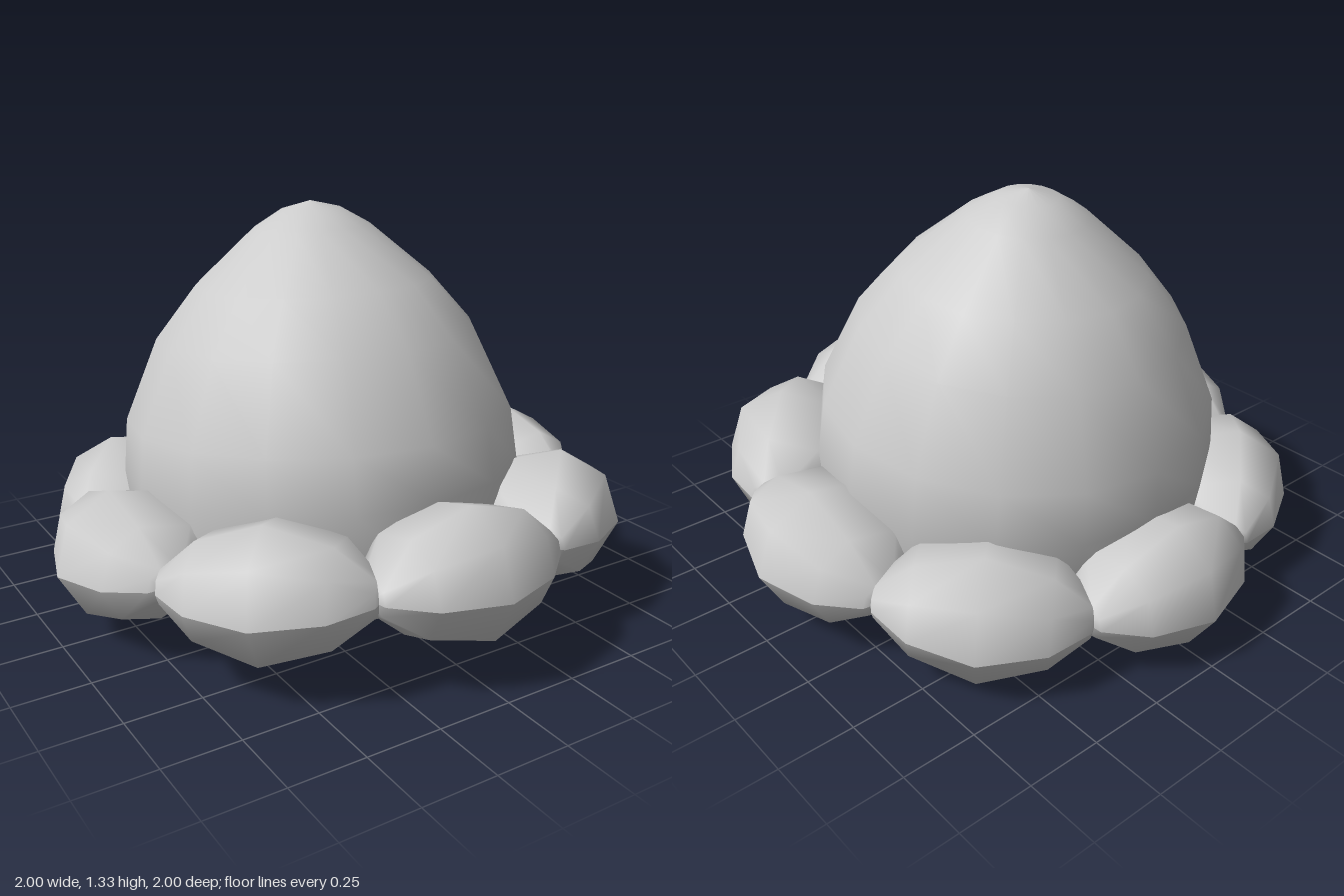
import * as THREE from 'three';

const TILT = -0.075; // whole model leans slightly back

function lathe(points, segments) {
  return new THREE.LatheGeometry(points.map(([r, y]) => new THREE.Vector2(r, y)), segments);
}

// Plump lobe lying along x, deeper on its inner side (-z)
function lobeGeometry() {
  const geometry = lathe([
    [0, -0.345], [0.055, -0.33], [0.158, -0.21], [0.22, 0],
    [0.158, 0.21], [0.055, 0.33], [0, 0.345],
  ], 8).rotateZ(Math.PI / 2).rotateX(0.12);
  const p = geometry.attributes.position;
  for (let i = 0; i < p.count; i++) {
    if (p.getZ(i) < 0) p.setZ(i, p.getZ(i) * (1.35 + Math.abs(p.getX(i))));
  }
  geometry.computeVertexNormals();
  return geometry;
}

export function createModel() {
  const model = new THREE.Group();
  model.name = 'eggInRing';
  const material = new THREE.MeshStandardMaterial({ color: 0xcccccc });

  // Pointed dome body with a flat bottom, shaded smoothly around the lower edge
  const body = new THREE.Mesh(lathe([
    [0, 0.065], [0.59, 0.065], [0.66, 0.2], [0.685, 0.45], [0.665, 0.63], [0.545, 0.9],
    [0.405, 1.07], [0.2, 1.25], [0.1, 1.31], [0, 1.335],
  ], 16), material);
  body.name = 'body';
  body.position.z = -0.015;
  body.rotation.x = TILT;
  model.add(body);

  // Ring of eight rounded lobes
  const ring = new THREE.Group();
  ring.name = 'lobeRing';
  ring.position.y = 0.276;
  ring.rotation.x = TILT;
  model.add(ring);
  const geometry = lobeGeometry();
  for (let i = 0; i < 8; i++) {
    const angle = (i * Math.PI) / 4;
    const lobe = new THREE.Mesh(geometry, material);
    lobe.name = 'lobe';
    lobe.position.set(Math.sin(angle) * 0.782, 0, Math.cos(angle) * 0.782);
    lobe.rotation.y = angle;
    ring.add(lobe);
  }
  return model;
}
